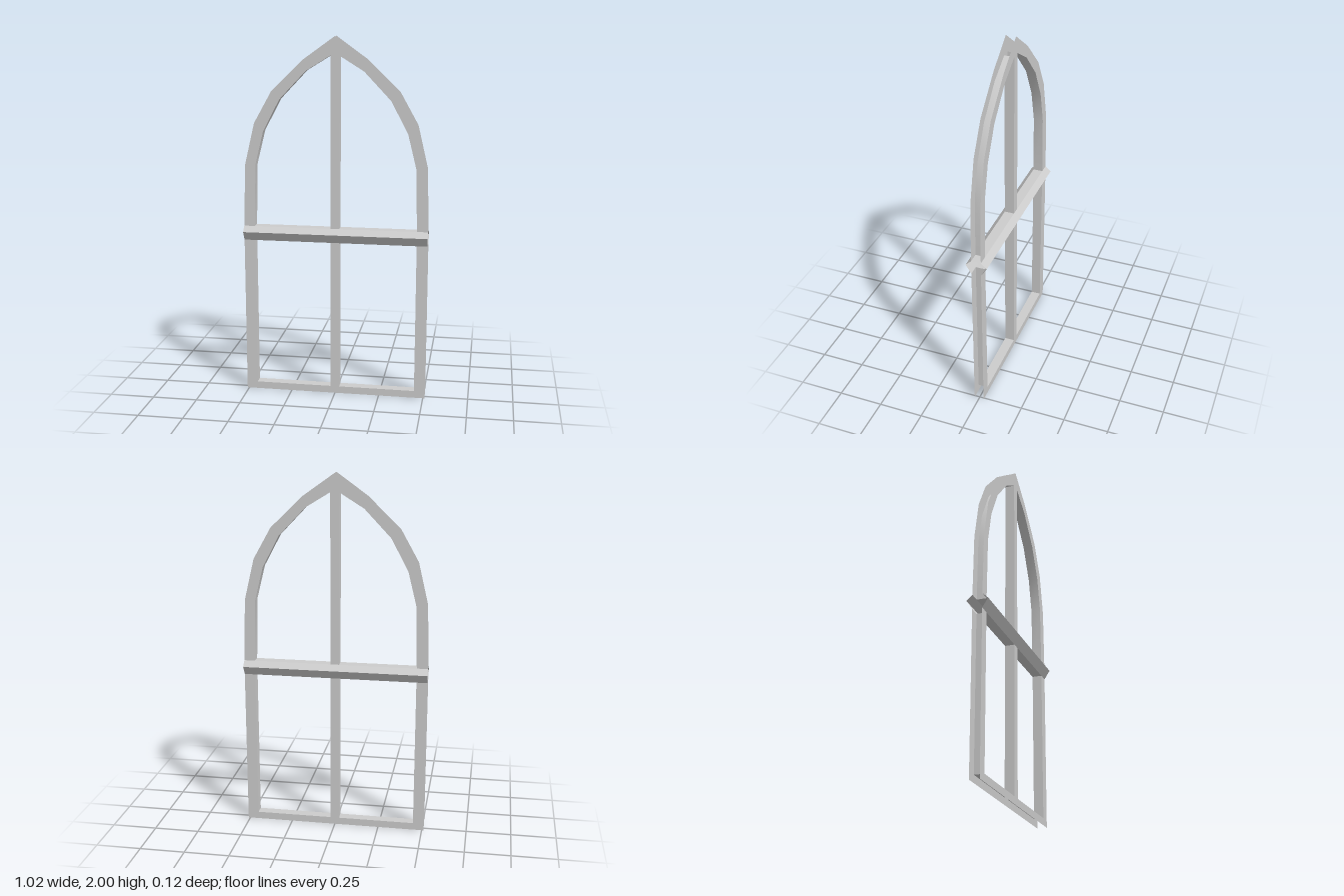
import * as THREE from 'three';
import { toCreasedNormals } from 'three/addons/utils/BufferGeometryUtils.js';

const D = 0.027;      // half depth of the frame
const RIDGE = 0.0585; // half depth at the transom ridge
const W = 0.51;       // half width
const M = 0.024;      // half width of the mullion
const SILL = 0.04, RAIL = 0.88, CREST = 0.93, LEDGE = 0.96;

// Right half of the pointed arch, from apex to springing line
const ARCH_OUT = [[0, 2], [0.17, 1.878], [0.347, 1.706], [0.444, 1.533], [0.498, 1.305], [W, LEDGE]];
const ARCH_IN = [[M, 1.899], [0.157, 1.817], [0.302, 1.664], [0.394, 1.49], [0.44, 1.305], [0.45, LEDGE]];

// Openings (clockwise) and half frames, each including half a mullion
const UPPER_HOLE = [...ARCH_IN, [M, LEDGE]];
const LOWER_HOLE = [[M, RAIL], [0.45, RAIL], [0.45, SILL], [M, SILL]];
const UPPER_FRAME = [...ARCH_OUT, ...[...ARCH_IN].reverse(), [M, LEDGE], [0, LEDGE]];
const LOWER_FRAME = [[W, RAIL], [0.45, RAIL], [0.45, SILL], [M, SILL], [M, RAIL], [0, RAIL], [0, 0], [W, 0]];

const mirrored = (pts, s) => pts.map(([x, y]) => [x * s, y]);

// Geometry from four-cornered faces, with edges above the crease angle kept sharp
function fromQuads(quads) {
  const pos = [];
  for (const [a, b, c, d] of quads) pos.push(...a, ...b, ...c, ...a, ...c, ...d);
  const geo = new THREE.BufferGeometry();
  geo.setAttribute('position', new THREE.Float32BufferAttribute(pos, 3));
  geo.computeVertexNormals();
  return toCreasedNormals(geo, 0.55);
}

// Flat face of a half frame
function plate(pts) {
  const shape = new THREE.Shape(pts.map(([x, y]) => new THREE.Vector2(x, y)));
  return new THREE.ShapeGeometry(shape).translate(0, 0, D);
}

// Inner walls around an opening, facing into it
function reveal(pts) {
  return fromQuads(pts.map(([x, y], i) => {
    const [u, v] = pts[(i + 1) % pts.length];
    return [[x, y, D], [x, y, -D], [u, v, -D], [u, v, D]];
  }));
}

// Sloped ledge and underside of the cross rail
function transom() {
  const profile = [[LEDGE, D], [CREST, RIDGE], [RAIL, D]];
  return fromQuads([0, 1].map((i) => {
    const [y0, z0] = profile[i], [y1, z1] = profile[i + 1];
    return [[-W, y0, z0], [-W, y1, z1], [W, y1, z1], [W, y0, z0]];
  }));
}

export function createModel() {
  const group = new THREE.Group();
  group.name = 'archedWindow';
  const grey = new THREE.MeshStandardMaterial({ color: 0xcccccc, side: THREE.DoubleSide });
  grey.name = 'light grey frame';
  const add = (name, geo) => {
    const mesh = new THREE.Mesh(geo, grey);
    mesh.name = name;
    group.add(mesh);
  };

  // Front and back faces
  for (const [face, turn] of [['front', 0], ['back', Math.PI]]) {
    for (const s of [1, -1]) {
      const side = s * (turn ? -1 : 1) > 0 ? 'Left' : 'Right';
      add(`${face}${side}Arch`, plate(mirrored(UPPER_FRAME, s)).rotateY(turn));
      add(`${face}${side}LowerFrame`, plate(mirrored(LOWER_FRAME, s)).rotateY(turn));
    }
    add(`${face}Transom`, transom().rotateY(turn));
  }

  // Inner walls of the four openings
  for (const [name, hole] of [['Upper', UPPER_HOLE], ['Lower', LOWER_HOLE]]) {
    add(`left${name}Reveal`, reveal(hole));
    add(`right${name}Reveal`, reveal(mirrored(hole, -1).reverse()));
  }

  // Small ledge closing the base of the left jamb
  add('jambLedge', fromQuads([[[0.45, LEDGE, D], [W, LEDGE, D], [W, LEDGE, -D], [0.45, LEDGE, -D]]]));
  return group;
}
